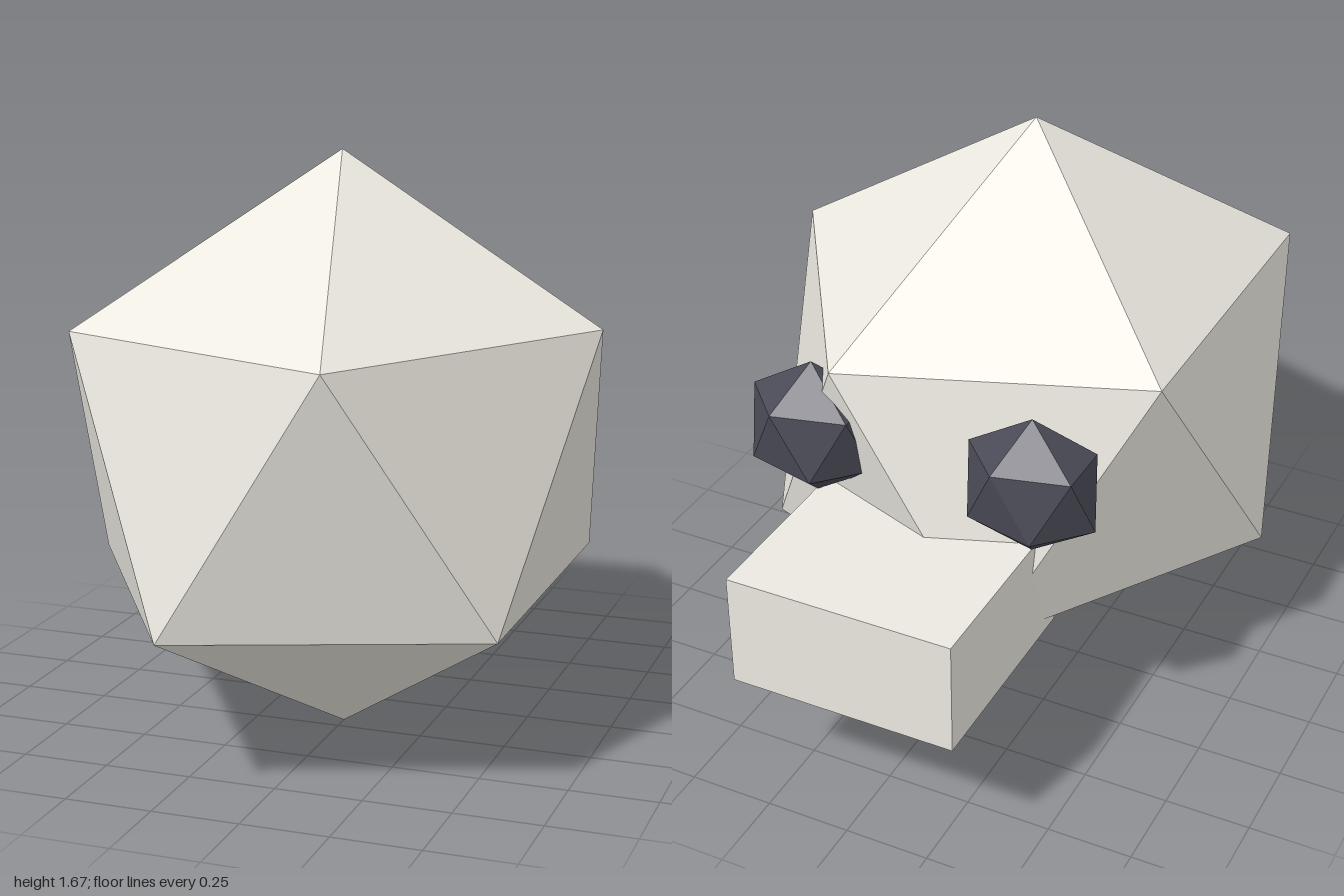
import * as THREE from 'three';

const bone = new THREE.MeshStandardMaterial({ color: 0xebe8e0, flatShading: true });
const dark = new THREE.MeshStandardMaterial({ color: 0x4a4a57, flatShading: true });

// Icosahedron standing on one vertex, with its upper ring pointing to +x
function standingIcosahedron(name, material, rx, ry, rz, x, y, z) {
  const geometry = new THREE.IcosahedronGeometry(1, 0);
  geometry.rotateZ(-Math.atan(2 / (1 + Math.sqrt(5))));
  geometry.scale(rx, ry, rz);
  geometry.computeVertexNormals();
  const mesh = new THREE.Mesh(geometry, material);
  mesh.name = name;
  mesh.position.set(x, y, z);
  return mesh;
}

export function createModel() {
  const group = new THREE.Group();
  group.name = 'skull';

  // Large faceted head, stretched front to back
  group.add(standingIcosahedron('cranium', bone, 0.833, 0.833, 0.941, 0, 0.833, 0.2));

  // Dark eye sockets, flattened in depth
  for (const side of [-1, 1]) {
    const name = side > 0 ? 'leftEyeSocket' : 'rightEyeSocket';
    group.add(standingIcosahedron(name, dark, 0.209, 0.209, 0.16, side * 0.333, 0.963, -0.519));
  }

  // Box jaw projecting to the back
  const jaw = new THREE.Mesh(new THREE.BoxGeometry(0.67, 0.34, 0.632), bone);
  jaw.name = 'jaw';
  jaw.position.set(0, 0.587, -0.684);
  group.add(jaw);

  return group;
}
